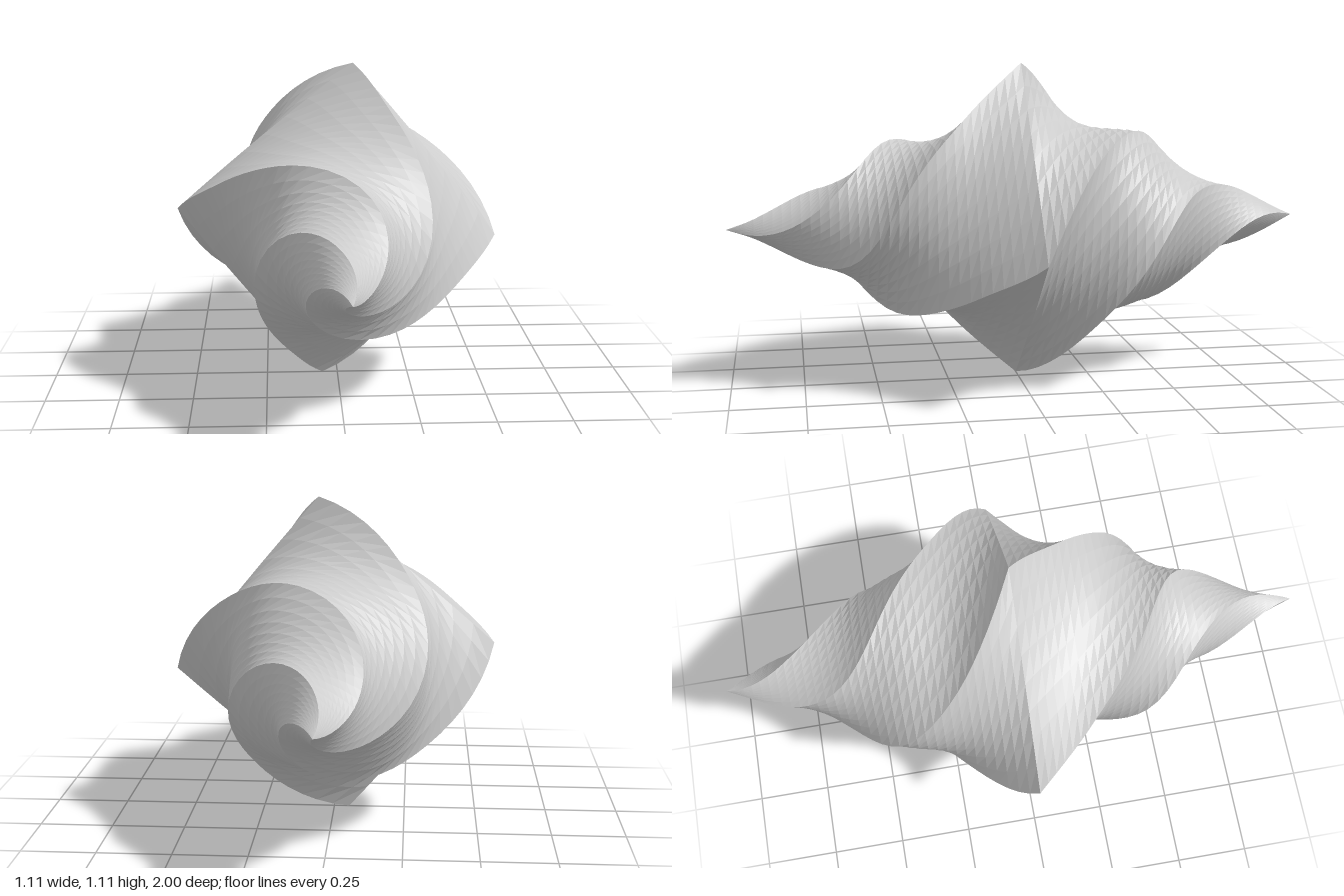
import * as THREE from 'three';

const AXIS_Y = 0.555;
const STEPS = 64; // sections from the back tip to the front tip
const ACROSS = 8; // divisions of each side

// Evenly spaced sections from waist to tip:
// turn in degrees, corner radius, mid-side radius as a share of it
const profile = (rows) =>
  new THREE.CatmullRomCurve3(rows.map((r) => new THREE.Vector3(...r)), false, 'catmullrom', 0.5);
const BACK = profile([
  [0, 0.557, 0.72], [39, 0.425, 0.8], [79, 0.335, 0.88],
  [130, 0.205, 0.82], [175, 0.1, 0.78], [220, 0, 0.75],
]);
const FRONT = profile([
  [0, 0.557, 0.72], [-20, 0.432, 0.74], [-54, 0.326, 0.79],
  [-118, 0.198, 0.84], [-170, 0.088, 0.82], [-225, 0, 0.75],
]);

// One of the four sides: swelling chords between two spiralling corners
function sideGeometry(side) {
  const positions = [];
  const indices = [];
  for (let i = 0; i <= STEPS; i++) {
    const z = -1 + (2 * i) / STEPS;
    const { x: turn, y: radius, z: mid } = (z < 0 ? BACK : FRONT).getPoint(Math.abs(z));
    const a = THREE.MathUtils.degToRad(turn - 5.5 + side * 90);
    const b = a + Math.PI / 2;
    const m = a + Math.PI / 4;
    for (let j = 0; j <= ACROSS; j++) {
      const t = j / ACROSS;
      const swell = (mid - Math.SQRT1_2) * 4 * t * (1 - t);
      positions.push(
        radius * (THREE.MathUtils.lerp(Math.cos(a), Math.cos(b), t) + swell * Math.cos(m)),
        radius * (THREE.MathUtils.lerp(Math.sin(a), Math.sin(b), t) + swell * Math.sin(m)),
        z
      );
    }
  }
  const row = ACROSS + 1;
  for (let i = 0; i < STEPS; i++) {
    for (let j = 0; j < ACROSS; j++) {
      const p = i * row + j;
      // single triangles where the ends close to a point
      if (i > 0) indices.push(p, p + 1, p + row);
      if (i < STEPS - 1) indices.push(p + 1, p + row + 1, p + row);
    }
  }
  const geometry = new THREE.BufferGeometry();
  geometry.setAttribute('position', new THREE.Float32BufferAttribute(positions, 3));
  geometry.setIndex(indices);
  geometry.computeVertexNormals();
  return geometry;
}

export function createModel() {
  const model = new THREE.Group();
  model.name = 'twistedOctahedron';
  const material = new THREE.MeshStandardMaterial({ color: 0xcccccc, flatShading: true });
  for (let side = 0; side < 4; side++) {
    const mesh = new THREE.Mesh(sideGeometry(side), material);
    mesh.name = `spiralSide${side + 1}`;
    mesh.position.y = AXIS_Y;
    model.add(mesh);
  }
  return model;
}
